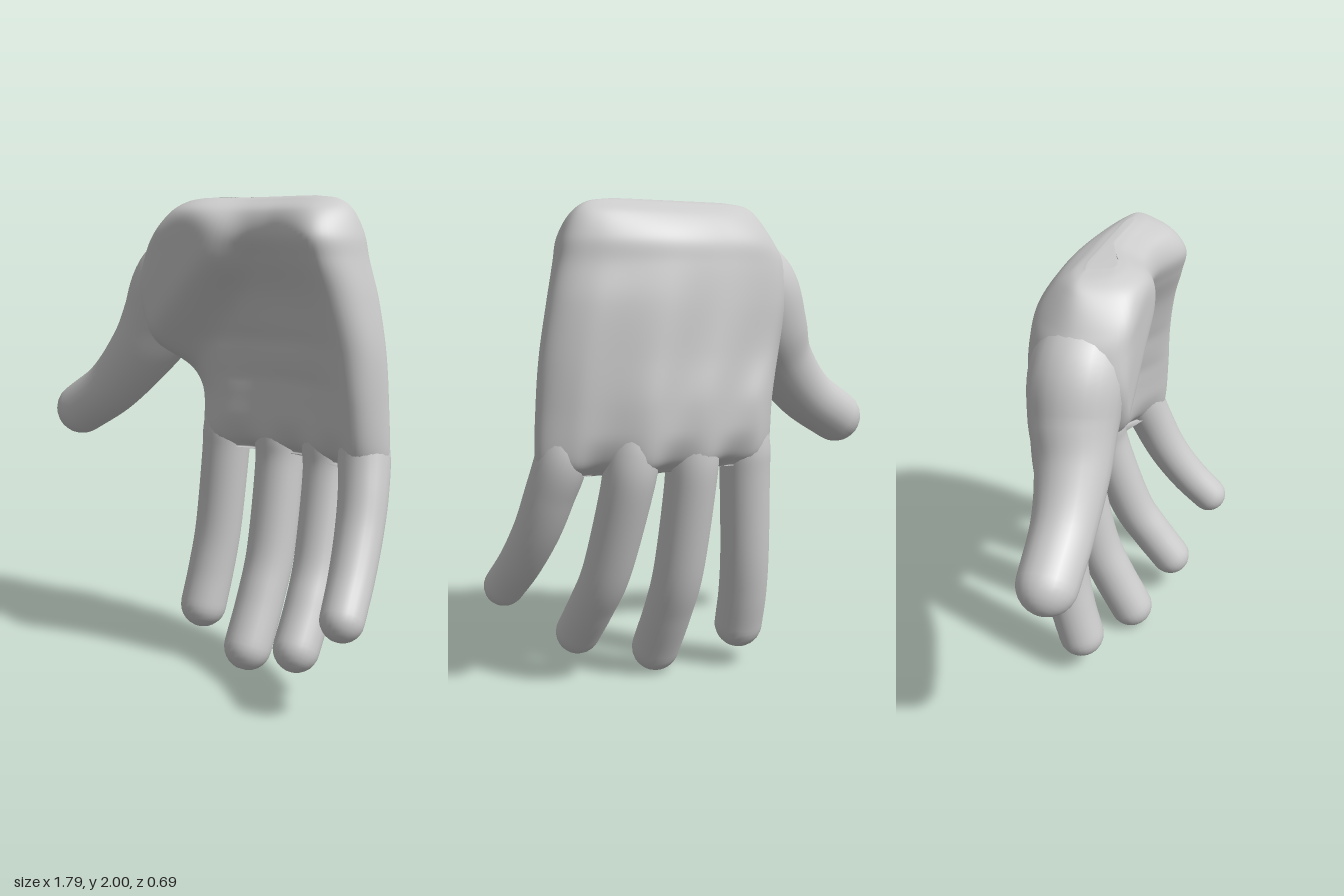
import * as THREE from 'three';

const material = new THREE.MeshStandardMaterial({ color: 0xcccccc });
const { smoothstep, lerp } = THREE.MathUtils;

// Smooth closed skin over a stack of equal-length loops, capped at both ends
function skin(name, loops) {
  const n = loops[0].length;
  const verts = loops.flat();
  const index = [];
  for (let i = 0; i < loops.length - 1; i++) {
    for (let j = 0; j < n; j++) {
      const a = i * n + j, b = i * n + (j + 1) % n;
      index.push(a, b, b + n, a, b + n, a + n);
    }
  }
  const cap = (loop, start, flip) => {
    const centre = loop.reduce((s, p) => s.add(p), new THREE.Vector3()).divideScalar(n);
    const c = verts.push(centre) - 1;
    for (let j = 0; j < n; j++) {
      const a = start + j, b = start + (j + 1) % n;
      if (flip) index.push(c, b, a); else index.push(c, a, b);
    }
  };
  cap(loops[0], 0, true);
  cap(loops[loops.length - 1], (loops.length - 1) * n, false);
  const geometry = new THREE.BufferGeometry().setFromPoints(verts);
  geometry.setIndex(index);
  geometry.computeVertexNormals();
  const mesh = new THREE.Mesh(geometry, material);
  mesh.name = name;
  return mesh;
}

// Tapered bent digit with a round tip; each stop is [x, y, z, radius]
function digit(name, stops, sides = 24, steps = 40, tipSteps = 7) {
  const path = new THREE.CatmullRomCurve3(stops.map(s => new THREE.Vector3(s[0], s[1], s[2])), false, 'catmullrom');
  const radii = new THREE.CatmullRomCurve3(stops.map(s => new THREE.Vector3(s[3], 0, 0)), false, 'catmullrom');
  const loops = [];
  const ring = (centre, dir, r) => {
    const u = new THREE.Vector3(0, 0, 1).cross(dir).normalize();
    const v = dir.clone().cross(u);
    loops.push(Array.from({ length: sides }, (_, k) => {
      const a = k / sides * Math.PI * 2;
      return centre.clone().addScaledVector(u, r * Math.cos(a)).addScaledVector(v, r * Math.sin(a));
    }));
  };
  for (let i = 0; i <= steps; i++) {
    const t = i / steps;
    ring(path.getPoint(t), path.getTangent(t), radii.getPoint(t).x);
  }
  const end = path.getPoint(1), dir = path.getTangent(1), r = stops[stops.length - 1][3];
  for (let i = 1; i < tipSteps; i++) {
    const a = i / tipSteps * Math.PI / 2;
    ring(end.clone().addScaledVector(dir, r * Math.sin(a)), dir, r * Math.cos(a));
  }
  return skin(name, loops);
}

// Cupped palm: y, left x, right x, then z around the section:
// left edge, four front columns, right edge, four back columns
const PALM = [
  [0.93, -0.15, 0.77, -0.20, -0.14, -0.16, -0.13, -0.01, -0.06, -0.13, -0.25, -0.28, -0.26],
  [1.00, -0.20, 0.80, -0.20, -0.09, -0.11, -0.08, 0.035, -0.07, -0.175, -0.30, -0.33, -0.31],
  [1.20, -0.215, 0.79, -0.20, -0.08, -0.10, -0.07, 0.05, -0.07, -0.19, -0.31, -0.34, -0.32],
  [1.40, -0.31, 0.77, -0.11, -0.02, -0.07, -0.05, 0.06, -0.07, -0.20, -0.30, -0.32, -0.27],
  [1.60, -0.37, 0.73, -0.06, 0.07, 0.0, -0.01, 0.09, -0.07, -0.20, -0.29, -0.30, -0.25],
  [1.75, -0.36, 0.69, -0.05, 0.12, 0.08, 0.06, 0.13, -0.06, -0.18, -0.27, -0.28, -0.235],
  [1.85, -0.305, 0.665, -0.04, 0.145, 0.12, 0.10, 0.145, -0.06, -0.17, -0.25, -0.26, -0.22],
  [1.94, -0.24, 0.62, -0.05, 0.09, 0.085, 0.075, 0.09, -0.06, -0.14, -0.19, -0.20, -0.17],
  [1.985, -0.18, 0.56, -0.06, 0.01, 0.01, 0.0, 0.0, -0.06, -0.10, -0.125, -0.125, -0.12],
  [2.00, -0.08, 0.46, -0.06, -0.045, -0.045, -0.045, -0.045, -0.06, -0.075, -0.075, -0.075, -0.075],
];
const COLUMNS = [0, 0.12, 0.38, 0.64, 0.9, 1, 0.9, 0.64, 0.38, 0.12];
const MOUND = new THREE.Line3(new THREE.Vector3(-0.32, 1.48, 0), new THREE.Vector3(-0.02, 1.82, 0));

function palm(sides = 100, rows = 80) {
  const sections = PALM.map(([y, x0, x1, ...z]) => new THREE.CatmullRomCurve3(
    COLUMNS.map((u, i) => new THREE.Vector3(lerp(x0, x1, u), y, z[i])), true, 'catmullrom'));
  const columns = Array.from({ length: sides }, (_, k) =>
    new THREE.CatmullRomCurve3(sections.map(s => s.getPoint(k / sides)), false, 'catmullrom'));
  const nearest = new THREE.Vector3();
  const loops = [];
  for (let i = 0; i <= rows; i++) {
    loops.push(columns.map((column, k) => {
      const p = column.getPoint(i / rows);
      const s = k / sides * 10;
      const front = s > 1 && s < 4, back = s > 6 && s < 9;
      // webs between the fingers, on both faces
      const web = Math.sin(Math.PI * s) ** 2;
      const pinch = 0.03 * web * (1 - smoothstep(p.y, 0.93, 1.1));
      // valleys between the tendons behind, two soft creases in front
      if (back) p.z += pinch + 0.02 * web * (1 - smoothstep(p.y, 1.2, 1.85));
      if (front) {
        const across = Math.sin(Math.PI * (s - 1) / 3);
        p.z -= pinch;
        for (const y of [1.25, 1.42]) p.z -= 0.007 * across * Math.exp(-(((p.y - y) / 0.04) ** 2));
      }
      // mound at the root of the thumb
      if (s < 4) {
        MOUND.closestPointToPoint(new THREE.Vector3(p.x, p.y, 0), true, nearest);
        const d = Math.hypot(p.x - nearest.x, p.y - nearest.y);
        p.z = lerp(p.z, Math.max(p.z, 0.165), smoothstep(s, 0.1, 0.9) * Math.exp(-((d / 0.18) ** 4)));
      }
      return p;
    }));
  }
  return skin('palm', loops);
}

export function createModel() {
  const hand = new THREE.Group();
  hand.name = 'hand';
  hand.add(palm());

  hand.add(digit('thumb', [
    [-0.06, 1.79, -0.04, 0.10], [-0.15, 1.735, -0.04, 0.165], [-0.25, 1.64, -0.04, 0.19],
    [-0.325, 1.49, -0.03, 0.178], [-0.42, 1.34, 0.00, 0.15], [-0.58, 1.175, 0.02, 0.128],
    [-0.78, 1.05, 0.03, 0.12],
  ]));
  hand.add(digit('indexFinger', [
    [-0.08, 1.15, -0.20, 0.09], [-0.09, 1.00, -0.20, 0.108], [-0.095, 0.88, -0.195, 0.107],
    [-0.115, 0.55, -0.17, 0.105], [-0.13, 0.35, -0.135, 0.105], [-0.14, 0.185, -0.09, 0.105],
  ]));
  hand.add(digit('middleFinger', [
    [0.18, 1.15, -0.22, 0.09], [0.185, 1.00, -0.22, 0.109], [0.19, 0.85, -0.21, 0.106],
    [0.20, 0.50, -0.14, 0.105], [0.205, 0.30, -0.06, 0.103], [0.21, 0.105, 0.04, 0.103],
  ]));
  hand.add(digit('ringFinger', [
    [0.44, 1.15, -0.19, 0.09], [0.45, 1.00, -0.19, 0.109], [0.465, 0.85, -0.17, 0.105],
    [0.495, 0.52, -0.06, 0.10], [0.515, 0.35, 0.04, 0.097], [0.53, 0.205, 0.145, 0.095],
  ]));
  hand.add(digit('littleFinger', [
    [0.68, 1.15, -0.07, 0.08], [0.695, 1.00, -0.07, 0.103], [0.725, 0.85, -0.02, 0.10],
    [0.75, 0.70, 0.05, 0.095], [0.78, 0.55, 0.15, 0.09], [0.81, 0.425, 0.26, 0.086],
  ]));
  return hand;
}
